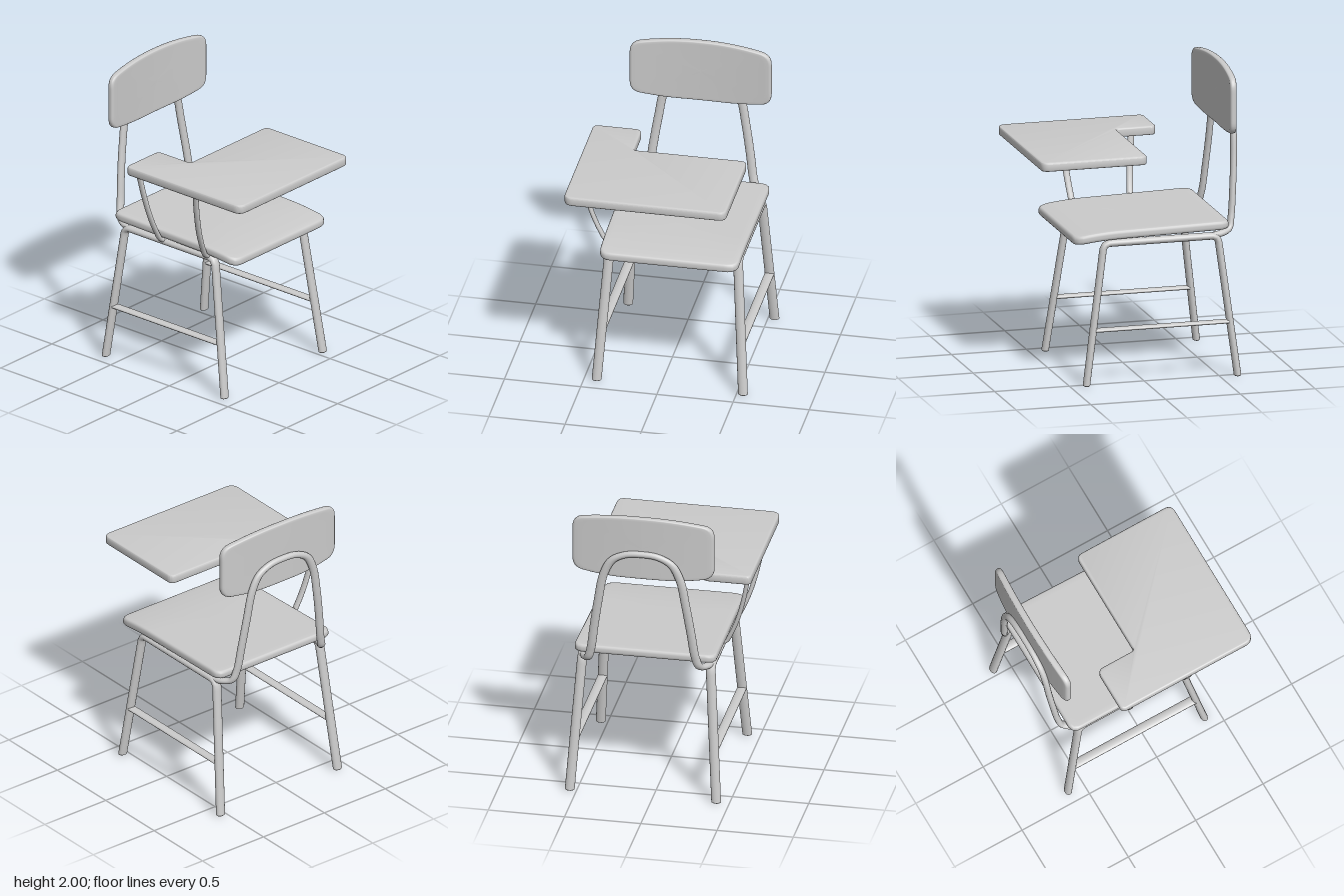
import * as THREE from 'three';
import { mergeGeometries, toCreasedNormals } from 'three/addons/utils/BufferGeometryUtils.js';

const V = (x, y, z) => new THREE.Vector3(x, y, z);
const material = new THREE.MeshStandardMaterial({ color: 0xcccccc });
const CX = 0.064; // centre line of the chair; the writing tablet overhangs to -x

function part(name, geometry, parent) {
  const mesh = new THREE.Mesh(geometry, material);
  mesh.name = name;
  parent.add(mesh);
  return mesh;
}

// Closed counter-clockwise outline from [x, y, cornerRadius] entries
function roundedShape(corners) {
  const shape = new THREE.Shape();
  const n = corners.length;
  corners.forEach(([x, y, r], i) => {
    const c = new THREE.Vector2(x, y);
    const toward = ([px, py]) => c.clone().add(new THREE.Vector2(px - x, py - y).setLength(r));
    const a = toward(corners[(i + n - 1) % n]);
    const b = toward(corners[(i + 1) % n]);
    if (i === 0) shape.moveTo(a.x, a.y);
    else shape.lineTo(a.x, a.y);
    shape.quadraticCurveTo(x, y, b.x, b.y);
  });
  shape.closePath();
  return shape;
}

// Soft-edged moulded panel: concentric rings of an outline, placed by a bending rule
function panel(shape, half, edge, place) {
  const outline = shape.getSpacedPoints(128).slice(0, -1);
  const n = outline.length;
  const lower = [[0, 1], [0.25, 1], [0.5, 1], [0.75, 1], [0.9, 1], [1 - edge, 1],
    [1 - edge * 0.45, 0.87], [1 - edge * 0.1, 0.6], [1, 0.25]];
  const rings = [...lower.map(([s, w]) => [s, -w * half]),
    ...lower.slice().reverse().map(([s, w]) => [s, w * half])];
  const position = [], index = [];
  rings.forEach(([s, w], i) => outline.forEach((p, j) => {
    position.push(...place(p.x * s, p.y * s, w));
    if (i === rings.length - 1) return;
    const a = i * n + j, b = i * n + (j + 1) % n;
    index.push(a, b, a + n, b, b + n, a + n);
  }));
  const g = new THREE.BufferGeometry();
  g.setAttribute('position', new THREE.Float32BufferAttribute(position, 3));
  g.setIndex(index);
  g.computeVertexNormals();
  return g;
}

// Straight runs joined by rounded bends
function bentPath(points, r) {
  const path = new THREE.CurvePath();
  let from = points[0];
  for (let i = 1; i < points.length - 1; i++) {
    const c = points[i];
    const a = c.clone().add(points[i - 1].clone().sub(c).setLength(r));
    const b = c.clone().add(points[i + 1].clone().sub(c).setLength(r));
    path.add(new THREE.LineCurve3(from, a));
    path.add(new THREE.QuadraticBezierCurve3(a, c, b));
    from = b;
  }
  path.add(new THREE.LineCurve3(from, points[points.length - 1]));
  return path;
}

// Capped tube with an oval section, stretched by sx and sz
function tube(curve, r, sx = 1, sz = 1, segments = 90) {
  const squeezed = new THREE.Curve();
  squeezed.getPoint = (t) => curve.getPointAt(t).divide(V(sx, 1, sz));
  const pieces = [new THREE.TubeGeometry(squeezed, segments, r, 14)];
  for (const t of [0, 1]) {
    const p = squeezed.getPoint(t);
    pieces.push(new THREE.SphereGeometry(r, 14, 8).scale(1, 0.5, 1).translate(p.x, p.y, p.z));
  }
  return mergeGeometries(pieces).scale(sx, 1, sz);
}

export function createModel() {
  const group = new THREE.Group();
  const chair = new THREE.Group();
  chair.name = 'chair';
  chair.position.x = CX;
  group.add(chair);

  // Seat, drooping gently towards the front edge
  const seatShape = roundedShape([
    [-0.455, -0.465, 0.07], [0.455, -0.465, 0.07], [0.466, 0.57, 0.06], [-0.466, 0.57, 0.06],
  ]);
  part('seat', panel(seatShape, 0.028, 0.03, (u, v, w) => {
    const z = -v;
    return [u, 0.987 - 0.022 * z - 0.23 * Math.max(0, z - 0.15) ** 2 + w, z];
  }), chair);

  // Backrest, curved around the sitter
  const backShape = roundedShape([
    [-0.465, -0.185, 0.07], [-0.25, -0.217, 0.12], [0.25, -0.217, 0.12], [0.465, -0.185, 0.07],
    [0.465, 0.172, 0.07], [0.2, 0.215, 0.18], [-0.2, 0.215, 0.18], [-0.465, 0.172, 0.07],
  ]);
  part('backrest', panel(backShape, 0.022, 0.04,
    (u, v, w) => [u, 1.785 + v, -0.618 + 0.026 * (u / 0.465) ** 2 + w]), chair);

  // Side frames: front leg, seat rail and rear leg in one bent tube, plus a stretcher
  for (const [side, s] of [['left', 1], ['right', -1]]) {
    const leg = bentPath([
      V(s * 0.48, 0.012, 0.398), V(s * 0.42, 0.926, 0.265),
      V(s * 0.42, 0.926, -0.497), V(s * 0.48, 0.012, -0.612),
    ], 0.045);
    part(side + 'LegFrame', tube(leg, 0.0235, 1.36), chair);
    const bar = new THREE.LineCurve3(V(s * 0.457, 0.363, 0.335), V(s * 0.457, 0.363, -0.56));
    part(side + 'Stretcher', tube(bar, 0.0135, 2.3, 1, 4), chair);
  }

  // Back hoop rising from the rear ends of the rails
  const half = [
    [0.415, 0.93, -0.47], [0.4, 0.935, -0.53], [0.365, 0.957, -0.59], [0.342, 1.03, -0.609],
    [0.318, 1.2, -0.626], [0.287, 1.4, -0.641], [0.25, 1.59, -0.649], [0.195, 1.695, -0.652],
    [0.105, 1.742, -0.652],
  ];
  const hoop = [
    ...half.map(([x, y, z]) => V(x, y, z)), V(0, 1.752, -0.652),
    ...half.slice().reverse().map(([x, y, z]) => V(-x, y, z)),
  ];
  part('backHoop', tube(new THREE.CatmullRomCurve3(hoop), 0.021, 1.36, 1, 140), chair);

  // L-shaped writing tablet
  const b = 0.012;
  const tabletShape = roundedShape([
    [-0.58 + b, -0.675 + b, 0.05], [0.485 - b, -0.675 + b, 0.04], [0.485 - b, 0.03 - b, 0.03],
    [-0.26 - b, 0.03 - b, 0.035], [-0.26 - b, 0.303 - b, 0.03], [-0.58 + b, 0.303 - b, 0.025],
  ]);
  const tablet = new THREE.ExtrudeGeometry(tabletShape, {
    depth: 0.06 - 2 * b, bevelThickness: b, bevelSize: b, bevelSegments: 3, curveSegments: 8,
  }).rotateX(-Math.PI / 2).translate(0, 1.425 + b, 0);
  part('writingTablet', toCreasedNormals(tablet, 0.6), group);

  // Flat bowed bars carrying the tablet from the rail
  for (const [name, top, bottom] of [['frontTabletSupport', 0.263, 0.215], ['rearTabletSupport', -0.217, -0.165]]) {
    const points = [[-0.545, 1.435], [-0.515, 1.28], [-0.475, 1.13], [-0.43, 1.015], [-0.395, 0.95], [-0.36, 0.932]]
      .map(([x, y]) => V(x, y, bottom + (top - bottom) * (y - 0.932) / 0.503));
    part(name, tube(new THREE.CatmullRomCurve3(points), 0.0145, 1, 1.5, 40), group);
  }
  return group;
}
